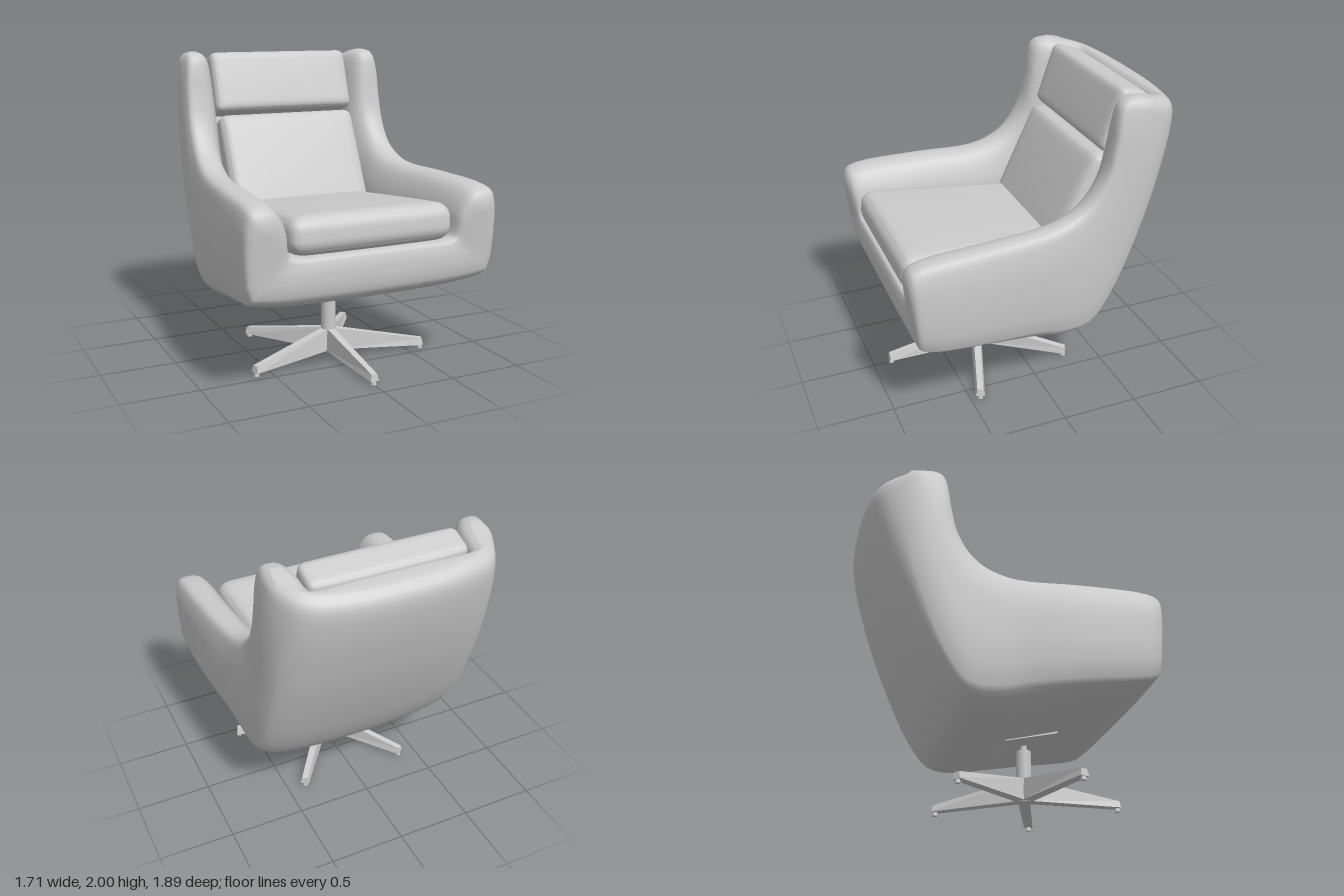
import * as THREE from 'three';
import { mergeVertices } from 'three/addons/utils/BufferGeometryUtils.js';

const material = new THREE.MeshStandardMaterial({ color: 0xcccccc, roughness: 0.8 });

function add(parent, name, geometry, x = 0, y = 0, z = 0, tilt = 0) {
  const mesh = new THREE.Mesh(geometry, material);
  mesh.name = name;
  mesh.position.set(x, y, z);
  mesh.rotation.x = tilt;
  parent.add(mesh);
  return mesh;
}

// Shell stations from the arm fronts, round the seat corner, to the top of the back.
// Each: rim z,y | outer spine z,y | inner floor z,y | outer half width, inner half width, corner size
const STATIONS = [
  [0.945, 1.06, 0.908, 0.72, 0.908, 0.77, 0.77, 0.68, 0.1],
  [0.938, 1.12, 0.900, 0.66, 0.900, 0.82, 0.815, 0.62, 0.2],
  [0.912, 1.17, 0.882, 0.61, 0.885, 0.855, 0.845, 0.585, 0.25],
  [0.83, 1.20, 0.82, 0.56, 0.82, 0.865, 0.855, 0.57, 0.4],
  [0.40, 1.22, 0.42, 0.46, 0.40, 0.82, 0.835, 0.545, 0.75],
  [0.00, 1.235, 0.10, 0.38, 0.00, 0.77, 0.79, 0.51, 1],
  [-0.18, 1.30, -0.10, 0.34, -0.15, 0.74, 0.775, 0.50, 1],
  [-0.28, 1.39, -0.29, 0.36, -0.30, 0.73, 0.765, 0.50, 1],
  [-0.365, 1.54, -0.45, 0.54, -0.40, 0.85, 0.76, 0.50, 1.1],
  [-0.405, 1.72, -0.66, 0.95, -0.53, 1.15, 0.755, 0.50, 1.2],
  [-0.425, 1.86, -0.82, 1.35, -0.65, 1.50, 0.75, 0.505, 1.3],
  [-0.45, 1.95, -0.93, 1.74, -0.74, 1.83, 0.735, 0.52, 1.4],
  [-0.49, 1.985, -0.93, 1.86, -0.77, 1.91, 0.72, 0.54, 1.4],
  [-0.57, 2.00, -0.87, 1.925, -0.80, 1.935, 0.685, 0.58, 1.2],
];

// One closed U-shaped section: under the seat, up the outside, over the rim, down the inside
function section([rz, ry, sz, sy, fz, fy, W, w, c]) {
  const rim = new THREE.Vector3(0, ry, rz);
  const spine = new THREE.Vector3(0, sy, sz);
  const floor = new THREE.Vector3(0, fy, fz);
  const lo = spine.distanceTo(rim), li = floor.distanceTo(rim), wall = W - w;
  const at = (from, length, x, d) => from.clone().lerp(rim, d / length).setX(x);
  const outer = [
    [0, -0.005 * c], [0.35 * W, 0], [0.72 * W, 0.032 * c], [0.87 * W, 0.078 * c], [0.957 * W, 0.155 * c],
    [W, 0.66 * lo], [W - 0.05 * wall, 0.89 * lo], [W - 0.14 * wall, 0.98 * lo],
  ].map(([x, d]) => at(spine, lo, x, d));
  const inner = [
    [0, 0], [0.5 * w, 0], [0.85 * w, 0], [0.97 * w, 0.02], [w, 0.07],
    [w + 0.04 * wall, 0.5 * li], [w + 0.19 * wall, 0.8 * li], [w + 0.36 * wall, 0.95 * li],
  ].map(([x, d]) => at(floor, li, x, d));
  const half = [...outer, rim.clone().setX(w + 0.61 * wall), ...inner.reverse()];
  const mirrored = half.slice(1, -1).reverse().map((p) => p.clone().setX(-p.x));
  return [...half, ...mirrored];
}

// Sample a smooth curve through points
function smooth(points, count, closed) {
  const curve = new THREE.CatmullRomCurve3(points, closed);
  return Array.from({ length: count }, (_, i) => curve.getPoint(i / (closed ? count : count - 1)));
}

function shellGeometry() {
  const control = STATIONS.map(section);
  const N = control[0].length * 3;
  const rows = (STATIONS.length - 1) * 4 + 1;
  const columns = control[0].map((_, j) => smooth(control.map((r) => r[j]), rows, false));
  const positions = [], index = [];
  for (let u = 0; u < rows; u++) {
    for (const p of smooth(columns.map((col) => col[u]), N, true)) positions.push(p.x, p.y, p.z);
  }
  const id = (u, v) => u * N + ((v + N) % N);
  for (let u = 0; u < rows - 1; u++) {
    for (let v = 0; v < N; v++) {
      const a = id(u, v), b = id(u + 1, v), c = id(u + 1, v + 1), d = id(u, v + 1);
      index.push(a, b, d, b, c, d);
    }
  }
  // Close the front and top ends with strips between outside and inside
  for (let i = -N / 4; i < N / 4; i++) {
    for (const u of [0, rows - 1]) {
      const a = id(u, i), b = id(u, i + 1), c = id(u, N / 2 - i - 1), d = id(u, N / 2 - i);
      if (u === 0) index.push(a, b, c, a, c, d);
      else index.push(a, c, b, a, d, c);
    }
  }
  const geometry = new THREE.BufferGeometry();
  geometry.setAttribute('position', new THREE.Float32BufferAttribute(positions, 3));
  geometry.setIndex(index);
  geometry.computeVertexNormals();
  return geometry;
}

// Soft cushion: rounded edges, faces bulging along one axis, width growing towards +z by taper
function cushion(size, radius, axis, bulge, taper = 0) {
  const half = new THREE.Vector3(...size).multiplyScalar(0.5);
  const core = half.clone().subScalar(radius);
  const box = new THREE.BoxGeometry(2, 2, 2, 20, 20, 20);
  box.deleteAttribute('normal');
  box.deleteAttribute('uv');
  const geometry = mergeVertices(box);
  const pos = geometry.attributes.position;
  const p = new THREE.Vector3(), inside = new THREE.Vector3();
  for (let i = 0; i < pos.count; i++) {
    p.fromBufferAttribute(pos, i);
    const swell = ['x', 'y', 'z'].reduce((s, k) => (k === axis ? s * p[k] : s * (1 - p[k] ** 2)), bulge);
    for (const k of ['x', 'y', 'z']) p[k] = Math.sin((p[k] * Math.PI) / 2) * half[k];
    inside.copy(p).clamp(core.clone().negate(), core);
    p.sub(inside).setLength(radius).add(inside);
    p[axis] += swell;
    p.x *= 1 + (taper * p.z) / size[2];
    pos.setXYZ(i, p.x, p.y, p.z);
  }
  geometry.computeVertexNormals();
  return geometry;
}

// Star-base leg: deep at the hub, thin at the tip, narrower on top
function legGeometry() {
  const geometry = new THREE.BoxGeometry(1, 1, 1).toNonIndexed();
  const p = geometry.attributes.position;
  for (let i = 0; i < p.count; i++) {
    const tip = p.getZ(i) > 0, top = p.getY(i) > 0;
    const halfWidth = (tip ? 0.03 : 0.038) * (top ? 0.65 : 1);
    const y = top ? (tip ? 0.07 : 0.178) : 0.025;
    p.setXYZ(i, Math.sign(p.getX(i)) * halfWidth, y, tip ? (top ? 0.645 : 0.65) : 0.01);
  }
  geometry.computeVertexNormals();
  return geometry;
}

export function createModel() {
  const chair = new THREE.Group();
  chair.name = 'loungeChair';

  // Upholstery
  add(chair, 'shell', shellGeometry());
  add(chair, 'seatCushion', cushion([1.06, 0.23, 1.22], 0.09, 'y', 0.015, 0.11), 0, 0.932, 0.29, -0.1);
  add(chair, 'backCushion', cushion([1.02, 0.74, 0.25], 0.06, 'z', 0.02), 0, 1.195, -0.365, -0.44);
  add(chair, 'headCushion', cushion([1.04, 0.43, 0.21], 0.05, 'z', 0.012), 0, 1.765, -0.588, -0.33);

  // Swivel base
  const base = new THREE.Group();
  base.name = 'swivelBase';
  base.position.z = 0.24;
  chair.add(base);
  add(base, 'mountingPlate', new THREE.BoxGeometry(0.38, 0.015, 0.36), 0, 0.411, 0.005, -0.23);
  add(base, 'piston', new THREE.CylinderGeometry(0.023, 0.023, 0.12, 20), 0, 0.38, 0);
  add(base, 'column', new THREE.CylinderGeometry(0.049, 0.049, 0.342, 24), 0, 0.194, 0);

  const leg = legGeometry();
  const foot = new THREE.CylinderGeometry(0.014, 0.018, 0.026, 12);
  for (let i = 0; i < 5; i++) {
    const arm = new THREE.Group();
    arm.name = 'starLeg' + (i + 1);
    arm.rotation.y = (i * Math.PI * 2) / 5;
    add(arm, 'leg', leg);
    add(arm, 'foot', foot, 0, 0.013, 0.635);
    base.add(arm);
  }
  return chair;
}
